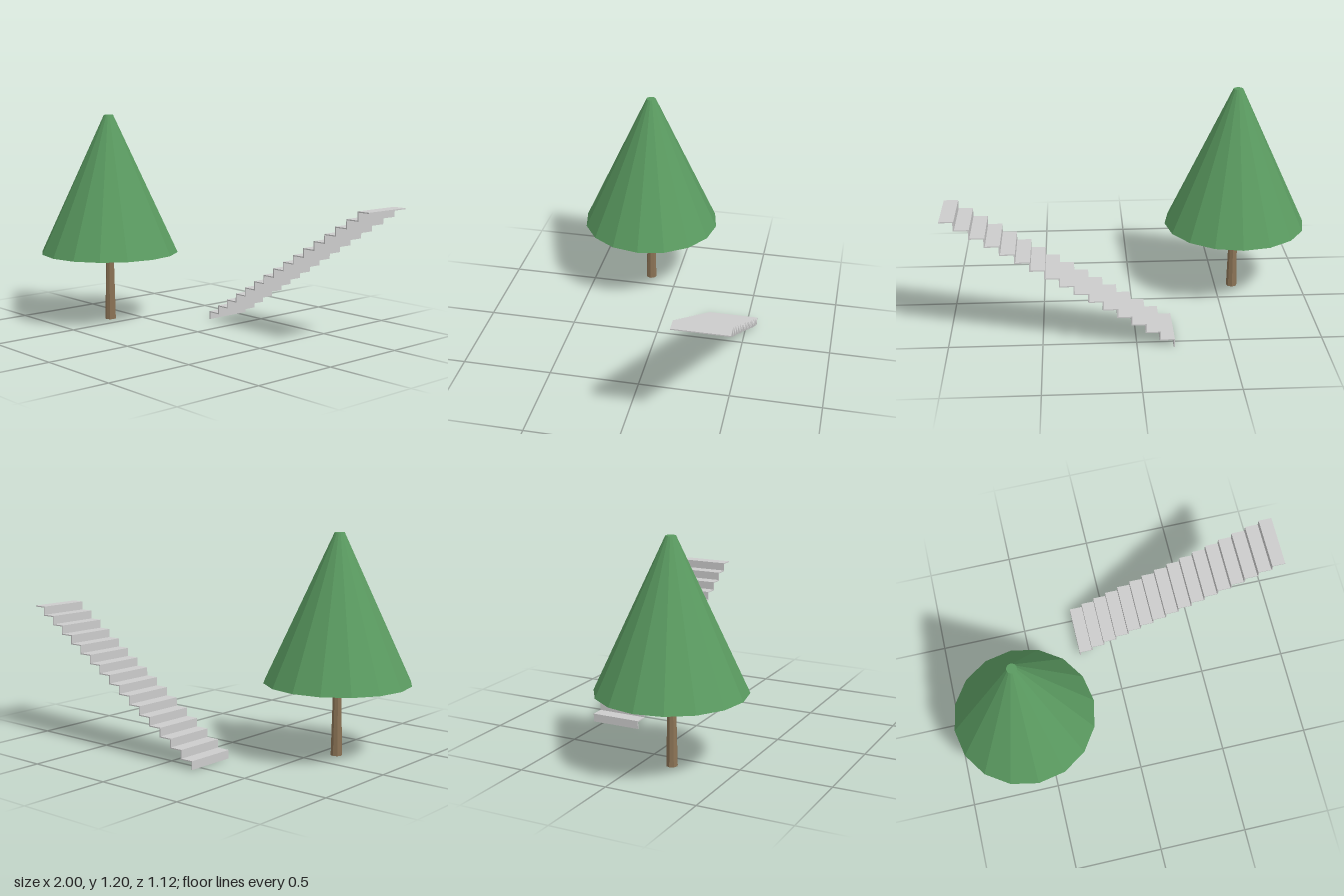
import * as THREE from 'three';

const STEPS = 16, RUN = 1.2 / STEPS, RISE = 0.75 / STEPS, THICK = 0.006;

function makeMaterial(name, color, flatShading = true) {
  const material = new THREE.MeshStandardMaterial({ color, flatShading });
  material.name = name;
  return material;
}

// Tapered round part standing on height y
function taper(name, top, bottom, height, y, sides, material) {
  const mesh = new THREE.Mesh(new THREE.CylinderGeometry(top, bottom, height, sides), material);
  mesh.name = name;
  mesh.position.y = y + height / 2;
  return mesh;
}

// Thin folded strip: riser then tread for each step
function staircase(material) {
  const upper = [[0, 0]], lower = [[THICK, 0]];
  for (let i = 0; i < STEPS; i++) {
    const x = i * RUN, y = (i + 1) * RISE, last = i === STEPS - 1;
    upper.push([x, y], [x + RUN, y]);
    lower.push([x + THICK, y - THICK], [x + RUN + (last ? 0 : THICK), y - THICK]);
  }
  const shape = new THREE.Shape([...lower, ...upper.reverse()].map(([x, y]) => new THREE.Vector2(x, y)));
  const geometry = new THREE.ExtrudeGeometry(shape, { depth: 0.29, bevelEnabled: false });
  const mesh = new THREE.Mesh(geometry, material);
  mesh.name = 'staircase';
  mesh.position.set(-0.2, 0, -0.56);
  return mesh;
}

export function createModel() {
  const model = new THREE.Group();
  model.name = 'treeAndStairs';

  // Tree
  const tree = new THREE.Group();
  tree.name = 'tree';
  tree.position.set(-0.6, 0, 0.16);
  tree.add(
    taper('trunk', 0.022, 0.031, 0.41, 0, 8, makeMaterial('bark brown', 0x8b7355)),
    taper('foliage', 0.027, 0.4, 0.8, 0.403, 16, makeMaterial('leaf green', 0x5a9a60)),
  );

  // Stairs
  model.add(tree, staircase(makeMaterial('stair grey', 0xcccccc)));
  return model;
}
